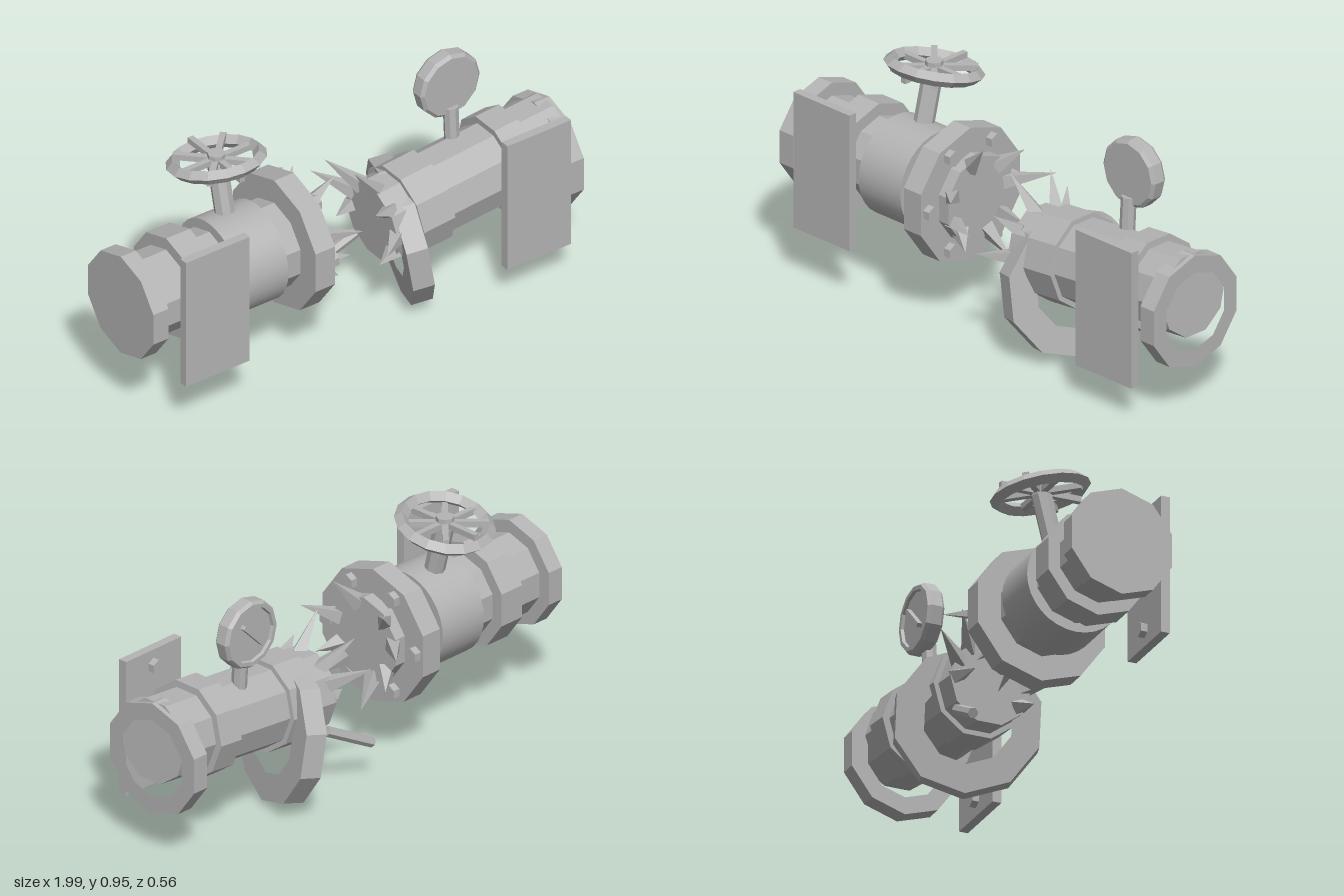
import * as THREE from 'three';

const metal = new THREE.MeshStandardMaterial({ color: 0xb4b4b4 });
metal.name = 'grey metal';
const V = (x, y, z) => new THREE.Vector3(x, y, z);
const UP = V(0, 1, 0);

// Faceted normals for low-poly parts
function facet(geo) {
  const g = geo.index ? geo.toNonIndexed() : geo;
  g.computeVertexNormals();
  return g;
}

function add(parent, name, geo, smooth = false) {
  const mesh = new THREE.Mesh(smooth ? geo : facet(geo), metal);
  mesh.name = name;
  parent.add(mesh);
  return mesh;
}

// Cylinder or cone between two points
function rod(parent, name, a, b, r0, r1 = r0, sides = 8) {
  const d = b.clone().sub(a);
  const m = add(parent, name, new THREE.CylinderGeometry(r1, r0, d.length(), sides));
  m.position.copy(a).addScaledVector(d, 0.5);
  m.quaternion.setFromUnitVectors(UP, d.normalize());
  return m;
}

// Drum along x; roll 0 puts a corner at the top
function drum(parent, name, x0, x1, r, sides = 10, roll = 0, smooth = false) {
  const geo = new THREE.CylinderGeometry(r, r, x1 - x0, sides);
  geo.rotateZ(-Math.PI / 2).rotateX(-Math.PI / 2 + roll);
  const m = add(parent, name, geo, smooth);
  m.position.x = (x0 + x1) / 2;
  return m;
}

// Polygonal ring with a hole, axis along x
function ring(parent, name, outer, inner, depth, sides = 10) {
  const poly = r => Array.from({ length: sides }, (_, i) => {
    const t = i / sides * Math.PI * 2;
    return new THREE.Vector2(Math.sin(t) * r, Math.cos(t) * r);
  });
  const shape = new THREE.Shape(poly(outer));
  shape.holes.push(new THREE.Path(poly(inner)));
  const geo = new THREE.ExtrudeGeometry(shape, { depth, bevelEnabled: false });
  geo.translate(0, 0, -depth / 2).rotateY(Math.PI / 2);
  return add(parent, name, geo);
}

// Torn metal shards from a pipe rim to the listed tips
function shards(parent, x, cy, cz, r, tips) {
  for (const [tx, ty, tz] of tips) {
    const a = Math.atan2(tz - cz, ty - cy);
    rod(parent, 'tornShard', V(x, cy + r * Math.cos(a), cz + r * Math.sin(a)), V(tx, ty, tz), 0.037, 0, 4);
  }
}

// Wall plate with two bolts on its back
function wallPlate(parent, x, y) {
  const g = new THREE.Group();
  g.name = 'wallPlate';
  g.position.set(x, y, 0.247);
  add(g, 'plate', new THREE.BoxGeometry(0.295, 0.56, 0.036));
  for (const s of [-1, 1]) rod(g, 'plateBolt', V(0, s * 0.215, -0.045), V(0, s * 0.215, -0.015), 0.031, 0.031, 6);
  parent.add(g);
}

export function createModel() {
  const model = new THREE.Group();
  model.name = 'brokenPipe';

  // Pipe half with the valve
  const valvePipe = new THREE.Group();
  valvePipe.name = 'valvePipe';
  valvePipe.position.set(0, 0.49, 0.013);
  model.add(valvePipe);
  drum(valvePipe, 'pipe', -0.995, -0.3, 0.165);
  drum(valvePipe, 'endFlange', -1, -0.93, 0.217);
  drum(valvePipe, 'collar', -0.79, -0.68, 0.215);
  drum(valvePipe, 'valveBody', -0.59, -0.37, 0.2, 32, 0, true);
  drum(valvePipe, 'brokenEnd', -0.38, -0.15, 0.175);
  drum(valvePipe, 'boltFlange', -0.29, -0.2, 0.275);
  for (let i = 0; i < 6; i++) {
    const a = Math.PI / 6 + i * Math.PI / 3;
    const bolt = drum(valvePipe, 'flangeBolt', -0.205, -0.17, 0.032, 6);
    bolt.position.y = Math.cos(a) * 0.222;
    bolt.position.z = Math.sin(a) * 0.222;
  }
  shards(model, -0.165, 0.49, 0.013, 0.14, [
    [-0.03, 0.54, -0.275], [-0.08, 0.66, -0.155], [-0.06, 0.74, 0.085], [-0.06, 0.58, 0.26],
    [-0.05, 0.42, 0.17], [-0.09, 0.33, 0.15], [-0.06, 0.25, -0.06], [-0.09, 0.35, -0.16],
  ]);

  // Leaning stem and handwheel
  rod(model, 'valveStem', V(-0.487, 0.66, -0.025), V(-0.487, 0.88, -0.08), 0.04);
  const wheel = new THREE.Group();
  wheel.name = 'handwheel';
  wheel.position.set(-0.487, 0.888, -0.084);
  model.add(wheel);
  const rim = add(wheel, 'wheelRim', new THREE.TorusGeometry(0.167, 0.027, 4, 16).rotateX(Math.PI / 2));
  rim.rotation.x = -0.23;
  rod(wheel, 'wheelHub', V(0, -0.02, 0), V(0, 0.03, 0), 0.035);
  for (let i = 0; i < 4; i++) {
    add(wheel, 'wheelSpoke', new THREE.BoxGeometry(0.33, 0.024, 0.024)).rotation.y = i * Math.PI / 4;
  }

  // Tilted pipe half with the gauge
  const gaugePipe = new THREE.Group();
  gaugePipe.name = 'gaugePipe';
  gaugePipe.position.set(0.58, 0.435, 0.015);
  gaugePipe.rotation.z = 0.09;
  model.add(gaugePipe);
  const roll = Math.PI / 10;
  drum(gaugePipe, 'pipe', -0.42, 0.398, 0.167, 10, roll);
  drum(gaugePipe, 'collar', -0.315, -0.17, 0.187, 10, roll);
  drum(gaugePipe, 'collar', 0.12, 0.23, 0.195, 10, roll);
  shards(model, 0.175, 0.4, 0.015, 0.14, [
    [0.05, 0.68, 0.055], [0.06, 0.63, -0.15], [0.06, 0.53, -0.24], [0.07, 0.54, 0.16],
    [0.06, 0.41, 0.25], [0.09, 0.31, 0.16], [0.07, 0.4, -0.09],
  ]);
  rod(model, 'looseRod', V(0.18, 0.27, -0.115), V(-0.03, 0.16, -0.148), 0.021, 0.021, 6);

  // Loose end flange and fallen flange ring
  ring(model, 'looseFlange', 0.23, 0.16, 0.07).position.set(0.948, 0.402, 0.012);
  const fallen = ring(model, 'fallenFlange', 0.285, 0.172, 0.085);
  fallen.position.set(0.312, 0.29, -0.012);
  fallen.quaternion.setFromUnitVectors(V(1, 0, 0), V(0.925, 0.16, 0.34).normalize());

  // Gauge with its dial on the back
  rod(model, 'gaugeStem', V(0.572, 0.55, -0.04), V(0.572, 0.72, -0.05), 0.03);
  const gauge = new THREE.Group();
  gauge.name = 'gauge';
  gauge.position.set(0.572, 0.812, -0.077);
  model.add(gauge);
  const profile = [[0, -0.034], [0.125, -0.034], [0.138, -0.022], [0.138, 0.022], [0.128, 0.036], [0.112, 0.036], [0.108, 0.024], [0, 0.024]];
  const casing = new THREE.LatheGeometry(profile.map(p => new THREE.Vector2(...p)), 12);
  add(gauge, 'gaugeCase', casing.rotateX(-Math.PI / 2));
  const needle = add(gauge, 'gaugeNeedle', new THREE.BoxGeometry(0.14, 0.016, 0.022));
  needle.position.z = -0.033;
  needle.rotation.z = Math.PI / 4;

  wallPlate(model, -0.735, 0.49);
  wallPlate(model, 0.752, 0.418);
  return model;
}
